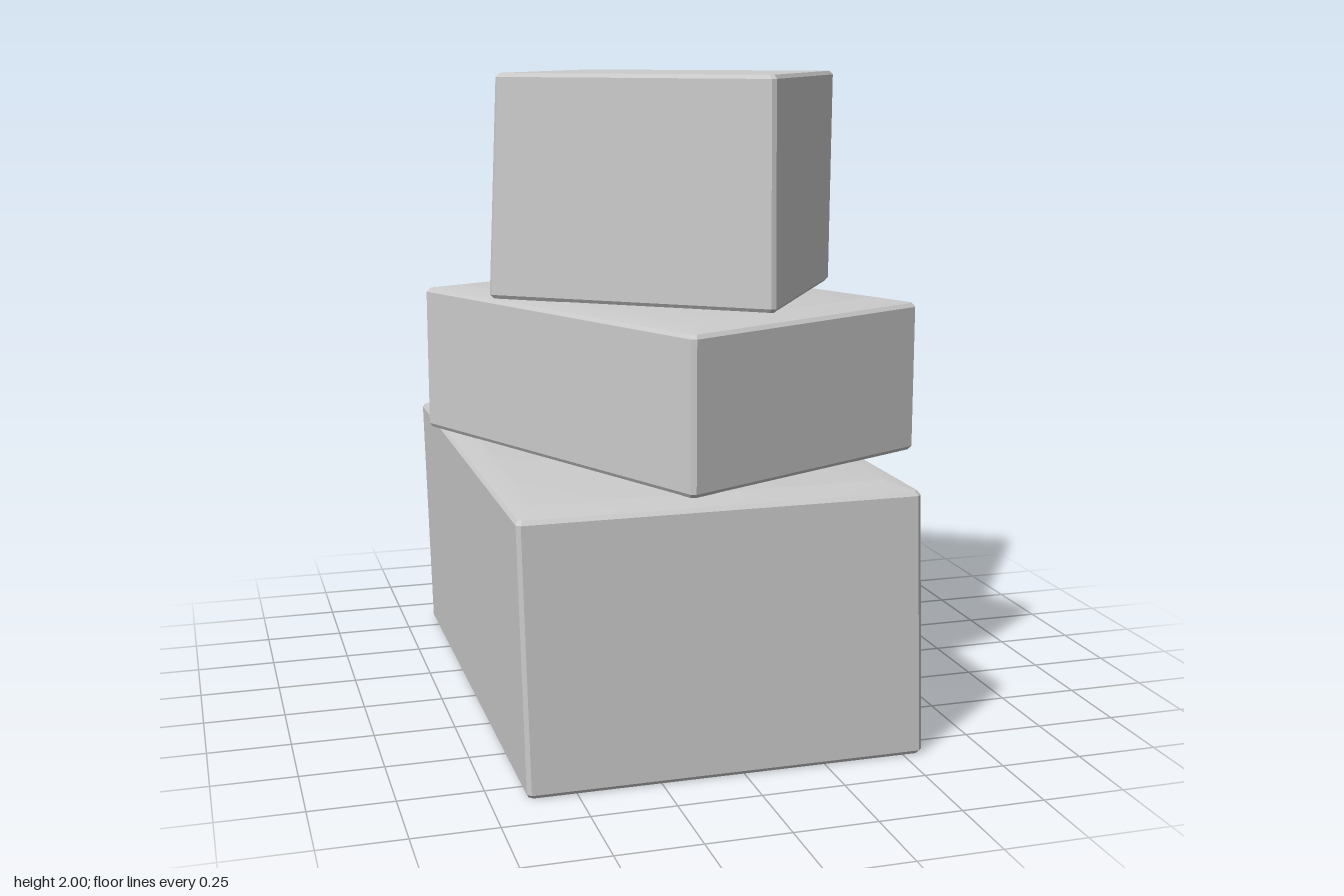
import * as THREE from 'three';
import { toCreasedNormals } from 'three/addons/utils/BufferGeometryUtils.js';

// Cuts each corner of a footprint and optionally pulls it towards its middle.
function ring(corners, y, bevel, inset = 0) {
  const pts = corners.map(([x, z]) => new THREE.Vector3(x, y, z));
  const mid = pts.reduce((s, p) => s.add(p), new THREE.Vector3()).divideScalar(pts.length);
  const out = [];
  pts.forEach((p, i) => {
    for (const q of [pts[(i + 3) % 4], pts[(i + 1) % 4]]) {
      const v = p.clone().add(q.clone().sub(p).setLength(bevel));
      out.push(v.add(mid.clone().sub(v).setLength(inset)));
    }
  });
  return out;
}

// Lofts a softly bevelled block from a lower to an upper footprint, with an optional crown on top.
function block(name, lower, upper, y0, y1, crown = 0) {
  const b = 0.012;
  const rings = [
    ring(lower, y0, b, b),
    ring(lower, y0 + b, b),
    ring(upper, y1 - b, b),
    ring(upper, y1, b, b),
  ];
  if (crown) rings.push(ring(upper, y1 + crown, b, 0.13));
  const n = rings[0].length;
  const pos = [];
  const tri = (...vs) => vs.forEach((v) => pos.push(v.x, v.y, v.z));
  for (let r = 0; r < rings.length - 1; r++) {
    for (let i = 0; i < n; i++) {
      const j = (i + 1) % n;
      tri(rings[r][i], rings[r][j], rings[r + 1][j]);
      tri(rings[r][i], rings[r + 1][j], rings[r + 1][i]);
    }
  }
  // End caps
  const first = rings[0], last = rings[rings.length - 1];
  for (let i = 1; i < n - 1; i++) {
    tri(first[0], first[i + 1], first[i]);
    tri(last[0], last[i], last[i + 1]);
  }
  const geo = new THREE.BufferGeometry();
  geo.setAttribute('position', new THREE.Float32BufferAttribute(pos, 3));
  const mesh = new THREE.Mesh(
    toCreasedNormals(geo, 0.5),
    new THREE.MeshStandardMaterial({ color: 0xcccccc })
  );
  mesh.name = name;
  return mesh;
}

export function createModel() {
  const group = new THREE.Group();
  group.name = 'stackedBlocks';

  // Long block at the base
  group.add(block('bottomBlock',
    [[-0.645, 0.85], [0.56, 0.85], [0.56, -0.85], [-0.645, -0.85]],
    [[-0.665, 0.85], [0.535, 0.85], [0.535, -0.85], [-0.665, -0.85]],
    0, 0.81, 0.014));

  // Flat block, turned on the base
  const middle = [[-0.145, 0.8], [0.715, 0.385], [0.155, -0.775], [-0.715, -0.39]];
  group.add(block('middleBlock', middle, middle, 0.823, 1.292, 0.014));

  // Smaller block on top, narrowing slightly upwards
  group.add(block('topBlock',
    [[-0.575, 0.01], [0.18, 0.56], [0.61, -0.11], [-0.12, -0.61]],
    [[-0.545, 0.01], [0.18, 0.54], [0.615, -0.11], [-0.11, -0.6]],
    1.305, 2));

  return group;
}
